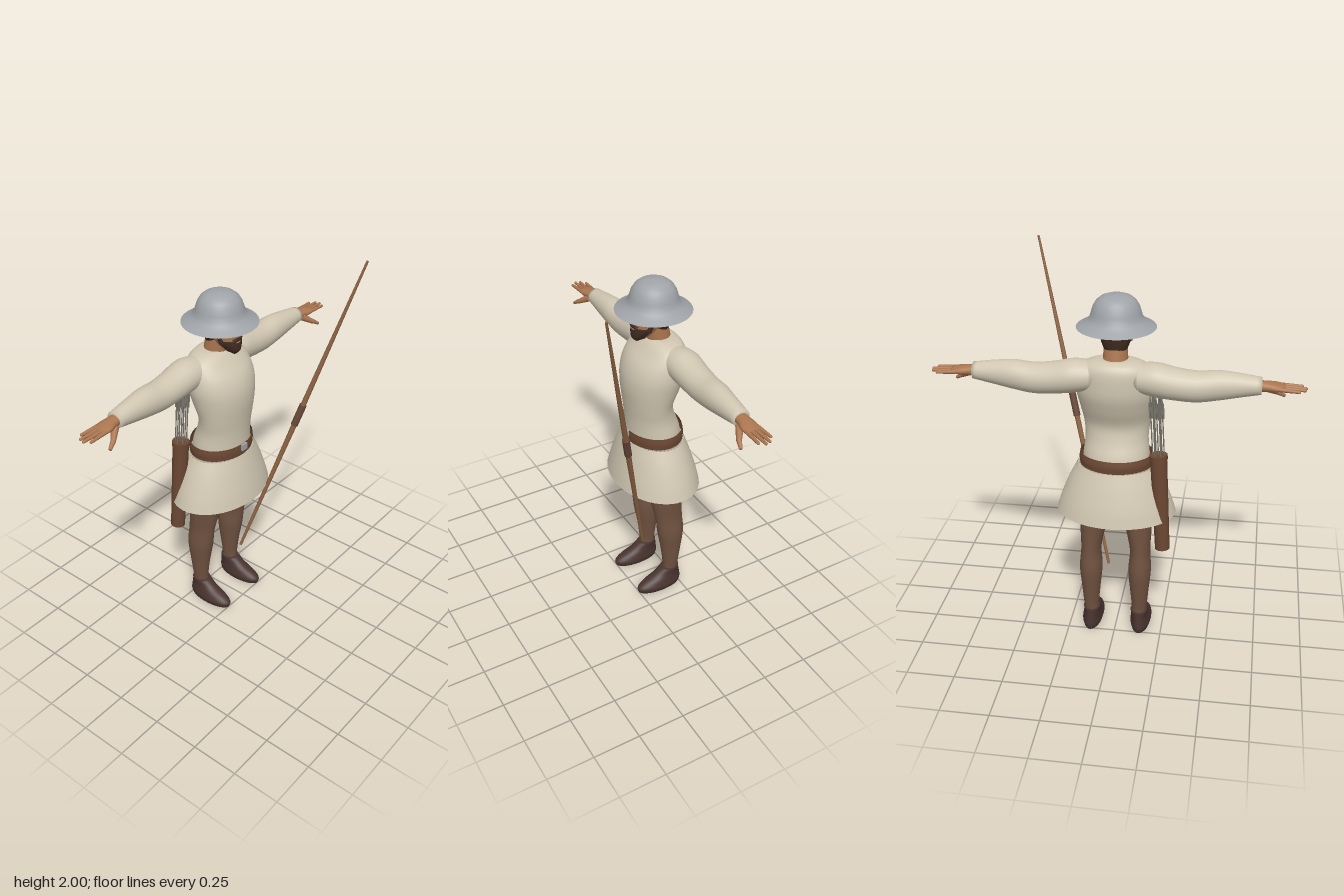
import * as THREE from 'three';

const paint = (name, color) => {
  const m = new THREE.MeshStandardMaterial({ color, side: THREE.DoubleSide });
  m.name = name;
  return m;
};

export function createModel() {
  const model = new THREE.Group();
  const linen = paint('linen', 0xd0c6b1);
  const steel = paint('steel', 0xa0a4a8);
  const skin = paint('skin', 0xab7650);
  const hairMat = paint('hair', 0x3e2a20);
  const hose = paint('hose', 0x705240);
  const shoeMat = paint('shoe leather', 0x493430);
  const leather = paint('belt leather', 0x6b4732);
  const wood = paint('wood', 0x8c6343);
  const gripMat = paint('grip', 0x68483a);
  const shaftMat = paint('arrow shaft', 0x77736a);

  const add = (name, geo, mat, parent = model) => {
    const m = new THREE.Mesh(geo, mat);
    m.name = name;
    parent.add(m);
    return m;
  };
  const group = (name) => {
    const g = new THREE.Group();
    g.name = name;
    model.add(g);
    return g;
  };

  // Smooth skin over oval sections [cx, cy, cz, r1, r2].
  // Axis 'y': r1 along x, r2 along z. Axis 'x': r1 along y, r2 along z.
  function loft(sections, { axis = 'y', flip = false, caps = true, seg = 28, steps = 5 } = {}) {
    const centre = new THREE.CatmullRomCurve3(sections.map(s => new THREE.Vector3(s[0], s[1], s[2])), false, 'catmullrom', 0.5);
    const radius = new THREE.CatmullRomCurve3(sections.map(s => new THREE.Vector3(s[3], s[4], 0)), false, 'catmullrom', 0.5);
    const rows = (sections.length - 1) * steps;
    const pos = [], idx = [];
    const tri = (a, b, c) => (flip ? idx.push(a, c, b) : idx.push(a, b, c));
    for (let i = 0; i <= rows; i++) {
      const c = centre.getPoint(i / rows), r = radius.getPoint(i / rows);
      for (let j = 0; j < seg; j++) {
        const t = (j / seg) * Math.PI * 2, u = r.x * Math.cos(t), v = r.y * Math.sin(t);
        if (axis === 'y') pos.push(c.x + u, c.y, c.z + v);
        else pos.push(c.x, c.y + u, c.z + v);
      }
    }
    for (let i = 0; i < rows; i++) for (let j = 0; j < seg; j++) {
      const a = i * seg + j, b = i * seg + (j + 1) % seg;
      tri(a, a + seg, b);
      tri(b, a + seg, b + seg);
    }
    if (caps) {
      const n = pos.length / 3, first = sections[0], last = sections[sections.length - 1];
      pos.push(first[0], first[1], first[2], last[0], last[1], last[2]);
      for (let j = 0; j < seg; j++) {
        const k = (j + 1) % seg;
        tri(n, j, k);
        tri(n + 1, rows * seg + k, rows * seg + j);
      }
    }
    const g = new THREE.BufferGeometry();
    g.setAttribute('position', new THREE.Float32BufferAttribute(pos, 3));
    g.setIndex(idx);
    g.computeVertexNormals();
    return g;
  }

  // Tapered rod from point a to point b
  function rod(name, a, b, ra, rb, mat, parent, seg = 10) {
    const A = new THREE.Vector3(...a), B = new THREE.Vector3(...b), d = B.clone().sub(A);
    const m = add(name, new THREE.CylinderGeometry(rb, ra, d.length(), seg), mat, parent);
    m.position.copy(A).add(B).multiplyScalar(0.5);
    m.quaternion.setFromUnitVectors(new THREE.Vector3(0, 1, 0), d.normalize());
    return m;
  }
  function ball(name, p, r, mat, parent) {
    add(name, new THREE.SphereGeometry(1, 12, 8), mat, parent).position.set(...p);
    parent.children[parent.children.length - 1].scale.set(...r);
  }

  // Tunic body, skirt and belt
  add('tunicBody', loft([
    [0, 0.97, -0.147, 0.175, 0.143], [0, 1.05, -0.142, 0.168, 0.136],
    [0, 1.13, -0.125, 0.160, 0.122], [0, 1.21, -0.114, 0.168, 0.119],
    [0, 1.30, -0.126, 0.186, 0.140], [0, 1.38, -0.141, 0.200, 0.150],
    [0, 1.45, -0.156, 0.198, 0.139], [0, 1.51, -0.178, 0.185, 0.112],
    [0, 1.545, -0.185, 0.145, 0.088], [0, 1.562, -0.182, 0.085, 0.062],
  ], { seg: 40 }), linen);
  add('skirt', loft([
    [0, 0.72, -0.155, 0.308, 0.225], [0, 0.80, -0.154, 0.283, 0.208],
    [0, 0.90, -0.151, 0.243, 0.180], [0, 0.985, -0.148, 0.200, 0.152],
  ], { caps: false, seg: 48 }), linen);
  add('waistCover', loft([
    [0, 0.983, -0.148, 0.199, 0.151], [0, 0.989, -0.148, 0.165, 0.13],
  ], { seg: 48, steps: 1 }), linen);
  add('belt', loft([
    [0, 0.988, -0.147, 0.186, 0.150], [0, 1.02, -0.147, 0.189, 0.152], [0, 1.052, -0.145, 0.184, 0.147],
  ], { caps: false, seg: 48 }), leather);
  add('buckle', new THREE.BoxGeometry(0.038, 0.036, 0.012), steel).position.set(0, 1.033, 0.008);

  // Limbs, one set for each side
  for (const s of [1, -1]) {
    const side = s > 0 ? 'left' : 'right';
    add(side + 'Sleeve', loft([
      [0.10, 1.475, -0.195, 0.070, 0.080], [0.20, 1.472, -0.205, 0.084, 0.088],
      [0.30, 1.456, -0.205, 0.080, 0.082], [0.40, 1.448, -0.203, 0.077, 0.075],
      [0.50, 1.458, -0.198, 0.074, 0.068], [0.60, 1.462, -0.193, 0.060, 0.056],
      [0.705, 1.464, -0.190, 0.042, 0.045],
    ].map(p => [s * p[0], ...p.slice(1)]), { axis: 'x', flip: s > 0 }), linen);

    const hand = group(side + 'Hand');
    add('palm', loft([
      [0.66, 1.463, -0.19, 0.028, 0.034], [0.72, 1.463, -0.188, 0.026, 0.034],
      [0.77, 1.461, -0.184, 0.022, 0.044], [0.815, 1.460, -0.183, 0.012, 0.042],
    ].map(p => [s * p[0], ...p.slice(1)]), { axis: 'x', flip: s > 0, seg: 18 }), skin, hand);
    const fingers = [[-0.217, 0.880, -0.226], [-0.196, 0.908, -0.201], [-0.174, 0.914, -0.176], [-0.153, 0.895, -0.148]];
    for (const [z, tip, tipZ] of fingers) {
      rod('finger', [s * 0.79, 1.46, z], [s * tip, 1.456, tipZ], 0.0115, 0.0075, skin, hand);
      ball('fingertip', [s * tip, 1.456, tipZ], [0.0075, 0.0075, 0.0075], skin, hand);
    }
    rod('thumb', [s * 0.73, 1.445, -0.165], [s * 0.782, 1.41, -0.128], 0.020, 0.013, skin, hand);
    rod('thumbEnd', [s * 0.78, 1.412, -0.129], [s * 0.818, 1.388, -0.115], 0.013, 0.008, skin, hand);

    add(side + 'Leg', loft([
      [0.125, 0.08, -0.203, 0.036, 0.042], [0.130, 0.15, -0.203, 0.040, 0.044],
      [0.130, 0.26, -0.203, 0.050, 0.058], [0.130, 0.38, -0.198, 0.060, 0.076],
      [0.130, 0.49, -0.185, 0.053, 0.079], [0.122, 0.60, -0.172, 0.065, 0.090],
      [0.109, 0.73, -0.158, 0.079, 0.102], [0.095, 0.86, -0.152, 0.088, 0.108],
      [0.085, 0.98, -0.150, 0.080, 0.100],
    ].map(p => [s * p[0], ...p.slice(1)])), hose);
    add(side + 'Shoe', loft([
      [0.132, 0.002, -0.130, 0.050, 0.130], [0.132, 0.028, -0.130, 0.056, 0.136],
      [0.131, 0.056, -0.146, 0.050, 0.117], [0.129, 0.088, -0.178, 0.044, 0.080],
      [0.128, 0.125, -0.202, 0.045, 0.051],
    ].map(p => [s * p[0], ...p.slice(1)])), shoeMat);
  }

  // Neck and head
  rod('neck', [0, 1.51, -0.18], [0, 1.67, -0.155], 0.064, 0.056, skin, model, 24);
  const head = group('head');
  add('face', loft([
    [0, 1.575, -0.072, 0.028, 0.030], [0, 1.61, -0.090, 0.053, 0.060],
    [0, 1.65, -0.112, 0.066, 0.084], [0, 1.70, -0.125, 0.074, 0.097],
    [0, 1.76, -0.135, 0.077, 0.098], [0, 1.82, -0.140, 0.050, 0.060],
  ]), skin, head);
  rod('nose', [0, 1.705, -0.032], [0, 1.668, -0.019], 0.008, 0.014, skin, head);
  add('hair', loft([
    [0, 1.605, -0.175, 0.054, 0.046], [0, 1.65, -0.167, 0.072, 0.061],
    [0, 1.71, -0.165, 0.080, 0.067], [0, 1.77, -0.160, 0.080, 0.070],
  ]), hairMat, head);
  add('beard', loft([
    [0, 1.563, -0.052, 0.010, 0.010], [0, 1.583, -0.060, 0.035, 0.036],
    [0, 1.613, -0.078, 0.056, 0.056], [0, 1.640, -0.093, 0.066, 0.066],
  ]), hairMat, head);
  ball('moustache', [0, 1.648, -0.036], [0.036, 0.009, 0.017], hairMat, head);
  ball('mouth', [0, 1.631, -0.031], [0.019, 0.005, 0.008], skin, head);
  for (const s of [1, -1]) {
    rod('sideburn', [s * 0.056, 1.625, -0.085], [s * 0.071, 1.72, -0.118], 0.014, 0.012, hairMat, head);
    ball('eye', [s * 0.030, 1.695, -0.037], [0.013, 0.005, 0.004], hairMat, head);
    ball('ear', [s * 0.080, 1.685, -0.125], [0.009, 0.025, 0.014], skin, head);
  }

  // Wide-brimmed helmet
  const profile = [
    [0.194, 1.711], [0.165, 1.727], [0.140, 1.745], [0.127, 1.763], [0.121, 1.785],
    [0.112, 1.813], [0.097, 1.838], [0.075, 1.856], [0.045, 1.867], [0, 1.871],
  ].map(p => new THREE.Vector2(...p));
  add('helmet', new THREE.LatheGeometry(profile, 48), steel).position.z = -0.144;

  // Leaning stave, tapered both ways from its grip
  const low = new THREE.Vector3(0.057, 0.308, -0.062), high = new THREE.Vector3(0.484, 1.998, 0.376);
  const at = t => low.clone().lerp(high, t).toArray();
  const stave = group('stave');
  rod('lowerLimb', at(0), at(0.5), 0.008, 0.015, wood, stave, 12);
  rod('upperLimb', at(0.5), at(1), 0.015, 0.006, wood, stave, 12);
  rod('grip', at(0.465), at(0.535), 0.019, 0.019, gripMat, stave, 12);

  // Quiver at the right hip, filled with arrows
  const quiver = group('quiver');
  rod('quiverCase', [-0.253, 0.555, -0.250], [-0.222, 1.08, -0.232], 0.038, 0.043, leather, quiver, 16);
  rod('quiverRim', [-0.2235, 1.06, -0.233], [-0.222, 1.083, -0.232], 0.046, 0.046, leather, quiver, 16);
  for (let i = 0; i < 7; i++) {
    const t = (i / 6) * Math.PI * 2, r = i === 6 ? 0 : 0.029;
    const x = r * Math.cos(t), z = r * Math.sin(t);
    const foot = [-0.223 + x, 1.06, -0.232 + z], nock = [-0.203 + x, 1.39 + 0.02 * (i % 3), -0.220 + z];
    const arrow = rod('arrow', foot, nock, 0.0035, 0.0035, shaftMat, quiver, 6);
    // Crossed feathers
    for (const turn of [0, Math.PI / 2]) {
      const vane = add('feather', new THREE.BoxGeometry(0.018, 0.08, 0.002), shaftMat, arrow);
      vane.position.y = 0.09;
      vane.rotation.y = turn + t;
    }
  }
  return model;
}
